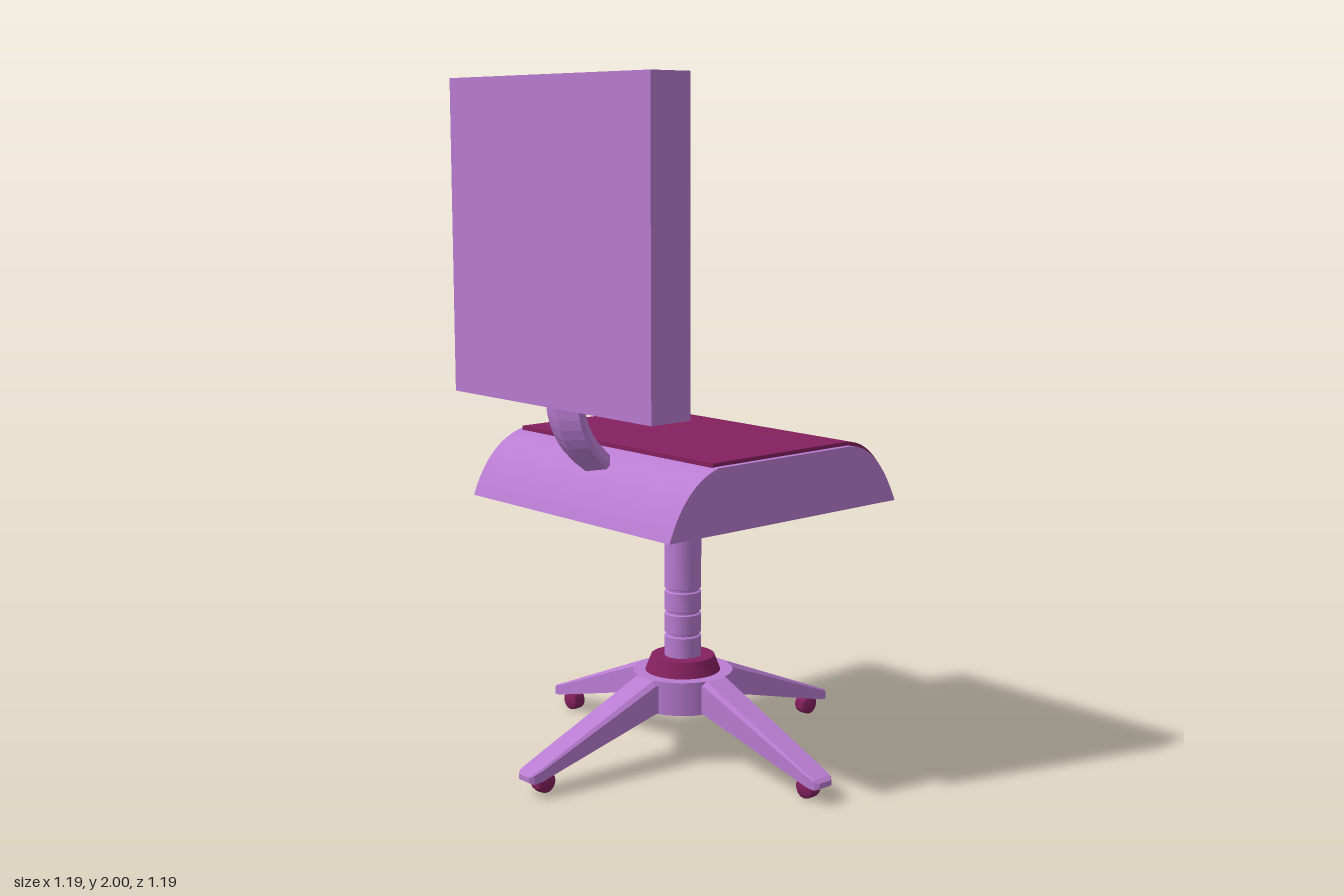
import * as THREE from 'three';
import { toCreasedNormals } from 'three/addons/utils/BufferGeometryUtils.js';

const purple = new THREE.MeshStandardMaterial({ color: 0xb97cd2 });
const purpleFlat = new THREE.MeshStandardMaterial({ color: 0xb97cd2, flatShading: true });
const magenta = new THREE.MeshStandardMaterial({ color: 0x85205f });

function add(parent, name, geometry, material, x = 0, y = 0, z = 0) {
  const mesh = new THREE.Mesh(geometry, material);
  mesh.name = name;
  mesh.position.set(x, y, z);
  parent.add(mesh);
  return mesh;
}

// Skin a row of matching cross-sections (counter-clockwise towards the far end) and cap both ends.
function loft(sections) {
  const out = [];
  const tri = (...pts) => pts.forEach((p) => out.push(p.x, p.y, p.z));
  const n = sections[0].length;
  for (let i = 0; i < sections.length - 1; i++) {
    for (let j = 0; j < n; j++) {
      const k = (j + 1) % n;
      const [a, b, c, d] = [sections[i][j], sections[i][k], sections[i + 1][k], sections[i + 1][j]];
      tri(a, b, c);
      tri(a, c, d);
    }
  }
  const first = sections[0], last = sections[sections.length - 1];
  for (let j = 1; j < n - 1; j++) {
    tri(first[0], first[j + 1], first[j]);
    tri(last[0], last[j], last[j + 1]);
  }
  const geo = new THREE.BufferGeometry();
  geo.setAttribute('position', new THREE.Float32BufferAttribute(out, 3));
  geo.computeVertexNormals();
  return geo;
}

// Extrude a (z, y) side profile across x, centred.
function sideExtrude(shape, width) {
  const geo = new THREE.ExtrudeGeometry(shape, { depth: width, bevelEnabled: false, curveSegments: 14 });
  geo.translate(0, 0, -width / 2).rotateY(-Math.PI / 2);
  return toCreasedNormals(geo, 0.5);
}

function seat() {
  const group = new THREE.Group();
  group.name = 'seat';
  const base = new THREE.Shape();
  base.moveTo(0.44, 0.78);
  base.quadraticCurveTo(0.385, 0.93, 0.265, 0.962);
  base.lineTo(-0.24, 0.962);
  base.quadraticCurveTo(-0.36, 0.962, -0.44, 0.78);
  base.closePath();
  add(group, 'seatBase', sideExtrude(base, 0.885), purple);

  // thin cover over the flat top and the rounded edge
  const cover = new THREE.Shape();
  cover.moveTo(0.27, 0.95);
  cover.lineTo(0.27, 0.973);
  cover.lineTo(-0.24, 0.973);
  cover.quadraticCurveTo(-0.36, 0.973, -0.437, 0.81);
  cover.lineTo(-0.415, 0.80);
  cover.quadraticCurveTo(-0.345, 0.95, -0.24, 0.95);
  cover.closePath();
  add(group, 'seatCushion', sideExtrude(cover, 0.85), magenta);
  return group;
}

// Curved faceted arm joining seat and backrest
function bracketGeometry() {
  const path = new THREE.CatmullRomCurve3([
    [0.335, 0.925], [0.392, 0.985], [0.424, 1.05], [0.436, 1.12],
  ].map(([z, y]) => new THREE.Vector3(0, y, z)));
  const outline = [[0, -0.036], [0.073, -0.015], [0.073, 0], [0.04, 0.034], [-0.04, 0.034], [-0.073, 0], [-0.073, -0.015]];
  const across = new THREE.Vector3(1, 0, 0);
  const sections = [];
  for (let i = 0; i <= 8; i++) {
    const p = path.getPoint(i / 8);
    const v = path.getTangent(i / 8).cross(across);
    sections.push(outline.map(([x, t]) => p.clone().addScaledVector(across, x).addScaledVector(v, t)));
  }
  return loft(sections);
}

// Tapered leg running along +z: [distance, half width, bottom, top]
function legGeometry() {
  return loft([
    [0.08, 0.052, 0.157, 0.255], [0.15, 0.05, 0.157, 0.255],
    [0.56, 0.038, 0.047, 0.083], [0.585, 0.034, 0.043, 0.073], [0.597, 0.024, 0.048, 0.064],
  ].map(([z, w, b, t]) => {
    const c = (t - b) * 0.14;
    return [[-w, b], [w, b], [w, t - c], [w - c, t], [c - w, t], [-w, t - c]]
      .map(([x, y]) => new THREE.Vector3(x, y, z));
  }));
}

function caster() {
  const group = new THREE.Group();
  group.name = 'caster';
  const profile = [[0, -0.024], [0.022, -0.024], [0.03, -0.018], [0.032, -0.006],
    [0.032, 0.006], [0.03, 0.018], [0.022, 0.024], [0, 0.024]]
    .map(([r, y]) => new THREE.Vector2(r, y));
  const wheel = new THREE.LatheGeometry(profile, 20).rotateZ(Math.PI / 2);
  add(group, 'wheel', toCreasedNormals(wheel, 0.7), magenta, 0, 0.032, 0.53);
  add(group, 'casterStem', new THREE.CylinderGeometry(0.01, 0.01, 0.04, 10), magenta, 0, 0.06, 0.53);
  return group;
}

function base() {
  const group = new THREE.Group();
  group.name = 'base';
  add(group, 'hub', new THREE.CylinderGeometry(0.15, 0.15, 0.1, 24), purple, 0, 0.205, 0);
  add(group, 'collar', new THREE.CylinderGeometry(0.095, 0.113, 0.047, 32), magenta, 0, 0.277, 0);
  const leg = legGeometry();
  for (let i = 0; i < 4; i++) {
    const arm = new THREE.Group();
    arm.name = 'legWithCaster';
    add(arm, 'leg', leg, purpleFlat);
    arm.add(caster());
    arm.rotation.y = i * Math.PI / 2;
    group.add(arm);
  }
  return group;
}

// Gas-lift post with three narrow grooves
function postGeometry() {
  const r = 0.055, pts = [[r, 0.26]];
  for (const y of [0.367, 0.435, 0.503]) {
    pts.push([r, y - 0.006], [r - 0.006, y - 0.003], [r - 0.006, y + 0.003], [r, y + 0.006]);
  }
  pts.push([r, 0.79]);
  const geo = new THREE.LatheGeometry(pts.map(([x, y]) => new THREE.Vector2(x, y)), 24);
  return toCreasedNormals(geo, 0.5);
}

export function createModel() {
  const model = new THREE.Group();
  model.name = 'officeChair';
  model.add(base());
  add(model, 'post', postGeometry(), purple);
  model.add(seat());
  add(model, 'backBracket', bracketGeometry(), purpleFlat);
  add(model, 'backrest', new THREE.BoxGeometry(0.88, 0.9, 0.135), purple, 0, 1.55, 0.432);
  return model;
}
